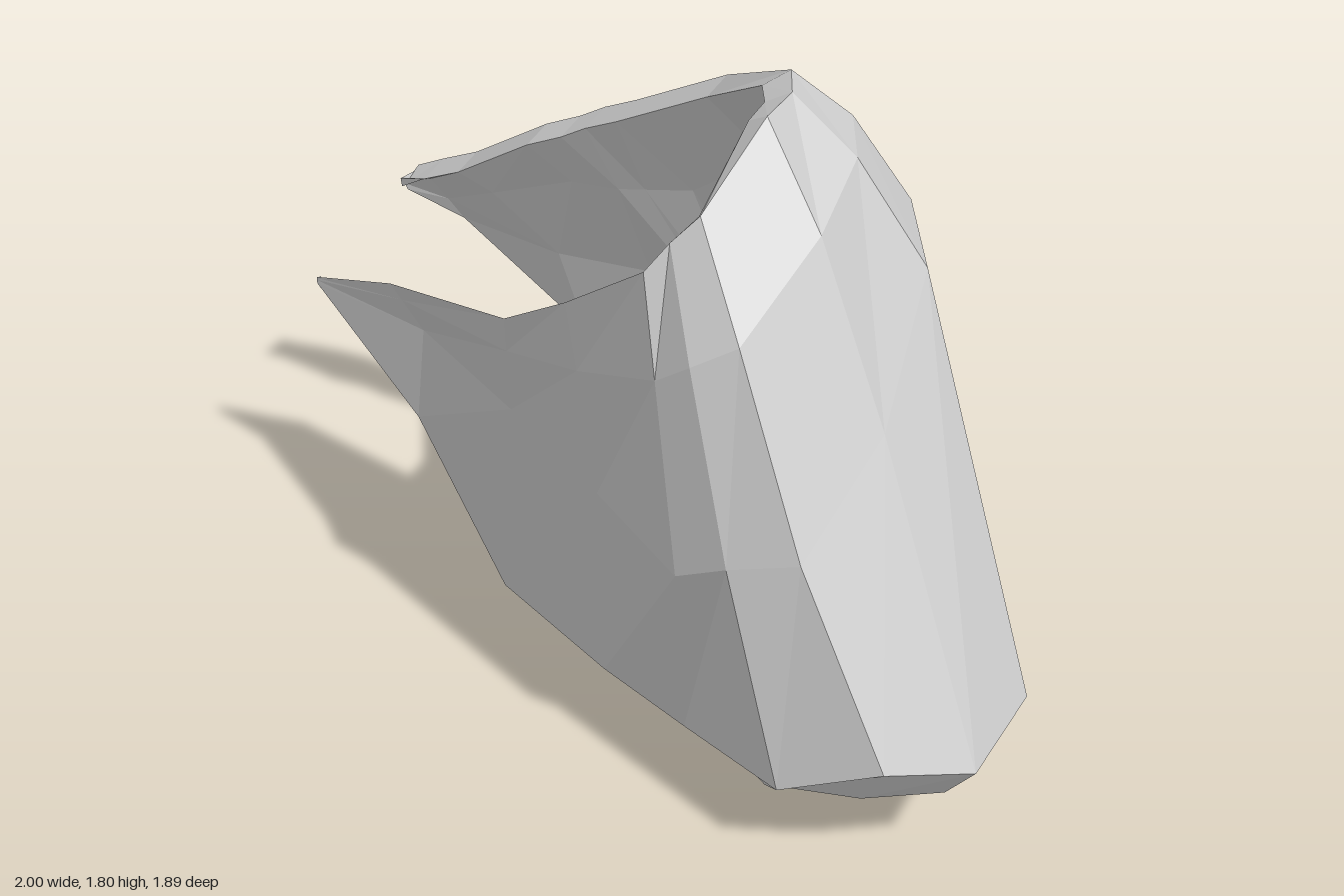
import * as THREE from 'three';

// Outer skin of the wrapped wall: one row per station, [bottom, middle, top edge], walked round the U.
// Rows of the front arm also give the ridge on their inner side.
const FRONT_ARM = [
  [[-1, .71, -.65], [-1, .72, -.65], [-1, .73, -.65], [-.99, .72, -.66]],
  [[-.69, .42, -.44], [-.66, .72, -.41], [-.75, .85, -.43], [-.74, .68, -.62]],
  [[-.43, 0, -.25], [-.37, .71, -.05], [-.36, 1.07, .09], [-.45, .385, -.47]],
  [[-.1, .07, .2], [-.1, .71, .32], [-.17, 1.28, .35], [-.11, .56, -.02]],
  [[.14, .13, .5], [.13, .71, .66], [.04, 1.48, .53], [.17, .74, .41]],
];
const NOSE = [
  [[.4, .24, .87], [.26, .8, .75], [.1, 1.55, .51]],
  [[.66, .36, .94], [.44, .85, .79], [.17, 1.62, .5]],
  [[.88, .33, .87], [.62, 1.1, .58], [.31, 1.8, .33]],
  [[1, .36, .59], [.7, 1.37, .25], [.36, 1.8, .2]],
  [[.95, .27, .25], [.65, 1.42, 0], [.35, 1.8, .08]],
];
const BACK_ARM = [
  [[.79, .18, -.05], [.57, 1, -.25], [.17, 1.6, -.28]],
  [[.45, .06, -.52], [.44, .72, -.48], [-.08, 1.43, -.45]],
  [[.31, .29, -.6], [.28, .74, -.55], [-.17, 1.37, -.52]],
  [[.24, .45, -.55], [.2, .78, -.57], [-.24, 1.32, -.56]],
  [[0, .47, -.73], [0, .82, -.68], [-.34, 1.26, -.62]],
  [[-.2, .52, -.82], [-.27, .8, -.79], [-.56, 1.07, -.8]],
  [[-.56, .79, -.95], [-.6, .88, -.93], [-.67, 1, -.88]],
  [[-.72, .88, -.94], [-.73, .92, -.94], [-.75, .95, -.93]],
];

// Horizontal direction from a point towards the centre line of the hollow
const axis = new THREE.Line3(new THREE.Vector3(.12, 0, .12), new THREE.Vector3(-.85, 0, -.78));
function inward(p) {
  const flat = new THREE.Vector3(p.x, 0, p.z);
  return axis.closestPointToPoint(flat, true, new THREE.Vector3()).sub(flat).normalize();
}

// Closed ring: up the outer skin, over the rim and down the inner skin, which ends in a lip
function makeRing(row, thickness, bulge, lip) {
  const [b, m, t, ridge] = row.map(p => new THREE.Vector3(...p));
  const shoulder = m.clone().lerp(t, .65);
  shoulder.addScaledVector(inward(shoulder), -bulge * (t.y - b.y));
  const outer = [b, m, shoulder, t];
  const inner = outer.map((p, i) => {
    const q = p.clone().addScaledVector(inward(p), i === 3 ? Math.min(thickness, .07) : thickness);
    q.y += [lip, 0, 0, -.04][i];
    return q;
  });
  if (ridge) {
    inner[1] = ridge;
    inner[2].lerpVectors(ridge, inner[3], .6);
  }
  return [...outer, ...inner.reverse()];
}

function loft(rings) {
  const pos = [];
  const tri = (...pts) => pts.forEach(p => pos.push(p.x, p.y, p.z));
  const n = rings[0].length;
  for (let i = 0; i < rings.length - 1; i++) {
    for (let j = 0; j < n; j++) {
      const k = (j + 1) % n;
      const a = rings[i][j], b = rings[i + 1][j], c = rings[i + 1][k], d = rings[i][k];
      tri(a, b, c);
      tri(a, c, d);
    }
  }
  // End caps, as strips between the outer and inner skins
  const first = rings[0], last = rings[rings.length - 1];
  for (let j = 0; j < n / 2 - 1; j++) {
    const o = n - 1 - j;
    tri(first[j], first[j + 1], first[o - 1]);
    tri(first[j], first[o - 1], first[o]);
    tri(last[j], last[o - 1], last[j + 1]);
    tri(last[j], last[o], last[o - 1]);
  }
  const geo = new THREE.BufferGeometry();
  geo.setAttribute('position', new THREE.Float32BufferAttribute(pos, 3));
  geo.computeVertexNormals();
  return geo;
}

export function createModel() {
  const group = new THREE.Group();
  group.name = 'foldedShell';
  const paleGrey = new THREE.MeshStandardMaterial({ color: 0xcccccc, flatShading: true, side: THREE.DoubleSide });
  paleGrey.name = 'paleGrey';

  // The front arm tapers to a sharp lower edge; the nose has a lip hanging below its edge
  const rings = [
    ...FRONT_ARM.map((row, i) => makeRing(row, [.01, .04, .03, .05, .09][i], 0, .02)),
    ...NOSE.map((row, i) => makeRing(row, .1, .03, [-.06, -.14, -.12, -.09, -.05][i])),
    ...BACK_ARM.map((row, i) => makeRing(row, .085, i < 2 ? .03 : .015, .02)),
  ];
  const shell = new THREE.Mesh(loft(rings), paleGrey);
  shell.name = 'wrappedWall';
  group.add(shell);
  return group;
}
